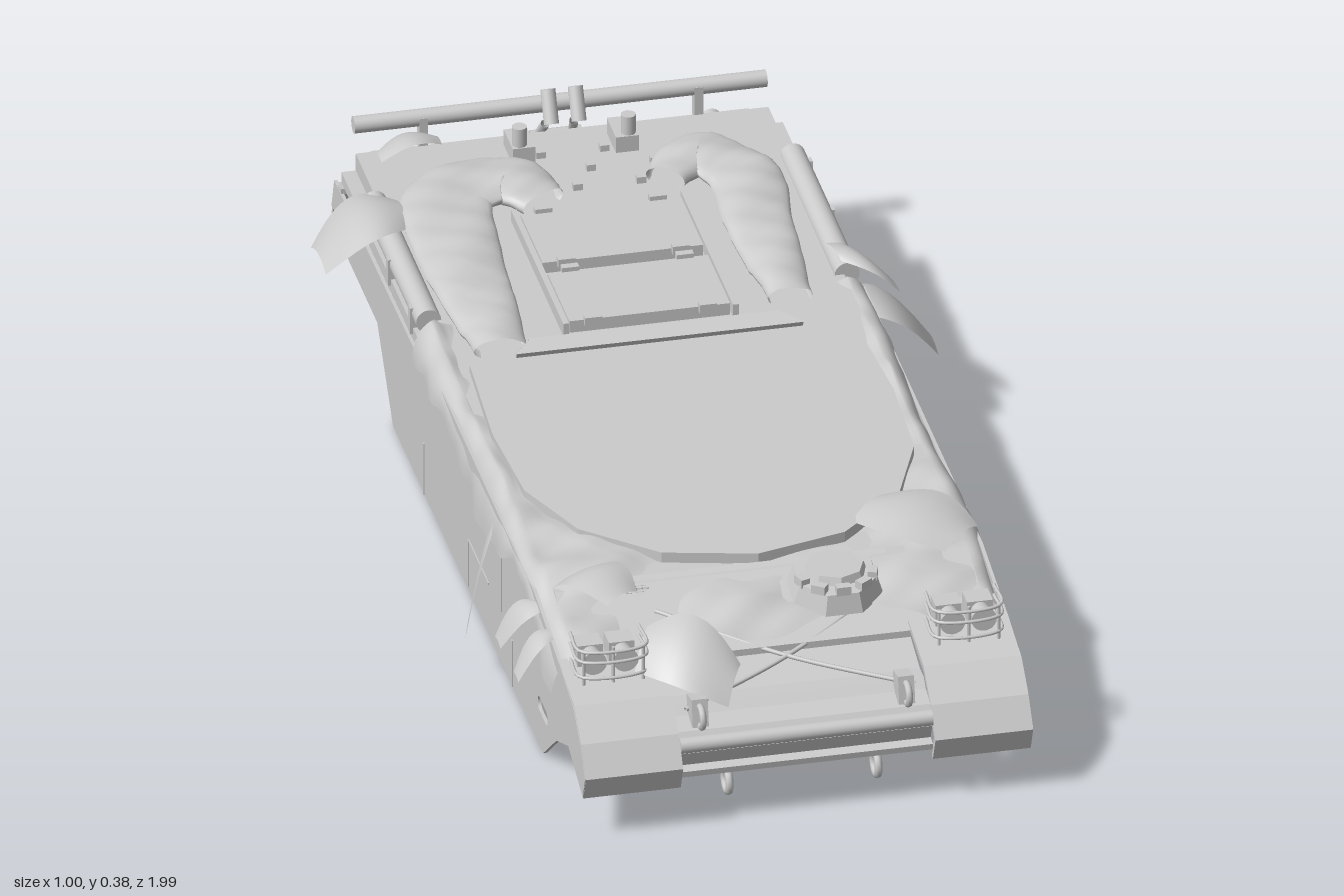
import * as THREE from 'three';

const mat = new THREE.MeshStandardMaterial({ color: 0xcccccc, side: THREE.DoubleSide });
const flat = new THREE.MeshStandardMaterial({ color: 0xcccccc, side: THREE.DoubleSide, flatShading: true });
const V = (x, y, z) => new THREE.Vector3(x, y, z);

export function createModel() {
  const root = new THREE.Group();
  const hull = new THREE.Group();
  hull.name = 'vehicleHull';
  hull.position.x = -0.013;
  root.add(hull);

  const add = (name, geo, x = 0, y = 0, z = 0, m = mat) => {
    const o = new THREE.Mesh(geo, m);
    o.name = name;
    o.position.set(x, y, z);
    hull.add(o);
    return o;
  };
  const box = (name, w, h, d, x, y, z, rx = 0) => {
    const o = add(name, new THREE.BoxGeometry(w, h, d), x, y, z);
    o.rotation.x = rx;
    return o;
  };
  // cylinder along an axis
  const cyl = (name, r1, r2, len, axis, x, y, z, n = 20) => {
    const g = new THREE.CylinderGeometry(r1, r2, len, n);
    if (axis === 'x') g.rotateZ(-Math.PI / 2);
    if (axis === 'z') g.rotateX(Math.PI / 2);
    return add(name, g, x, y, z);
  };
  // side profile of [z, y] points extruded across x
  const profile = (name, pts, width, x, hole) => {
    const s = new THREE.Shape(pts.map(p => new THREE.Vector2(p[0], p[1])));
    if (hole) s.holes.push(hole);
    const g = new THREE.ExtrudeGeometry(s, { depth: width, bevelEnabled: false });
    g.rotateY(-Math.PI / 2).translate(width / 2, 0, 0);
    return add(name, g, x);
  };
  const tube = (name, pts, r, n = 24) =>
    add(name, new THREE.TubeGeometry(new THREE.CatmullRomCurve3(pts), n, r, 8));
  // grid surface from a rule f(u, v) -> point
  const surface = (name, f, nu, nv) => {
    const g = new THREE.PlaneGeometry(1, 1, nu, nv), p = g.attributes.position;
    for (let i = 0; i < p.count; i++) {
      const q = f(p.getX(i) + 0.5, p.getY(i) + 0.5);
      p.setXYZ(i, q.x, q.y, q.z);
    }
    g.computeVertexNormals();
    return add(name, g);
  };
  const bumps = (x, z) =>
    0.5 * Math.sin(x * 21 + z * 13) + 0.3 * Math.sin(z * 37 - x * 17) + 0.2 * Math.sin(x * 53 + z * 59);

  // main body: tub with sloping sides
  const tub = profile('lowerHull', [[0.74, 0.028], [0.94, 0.08], [0.965, 0.14], [0.9, 0.2], [-0.89, 0.21],
    [-0.89, 0.11], [-0.84, 0.028]], 0.44, 0);
  const tp = tub.geometry.attributes.position;
  for (let i = 0; i < tp.count; i++) tp.setX(i, tp.getX(i) * (tp.getY(i) < 0.06 ? 0.8 : 1));
  tub.geometry.computeVertexNormals();
  profile('upperHull', [[0.8, 0.19], [0.8, 0.235], [0.62, 0.282], [-0.28, 0.29], [-0.9, 0.295], [-0.91, 0.2],
    [-0.86, 0.17]], 0.72, 0);
  profile('glacis', [[0.97, 0.15], [0.95, 0.175], [0.6, 0.286], [0.6, 0.19], [0.9, 0.14]], 0.44, 0);
  cyl('noseBar', 0.014, 0.014, 0.44, 'x', 0, 0.155, 0.962);
  box('noseStrip', 0.44, 0.012, 0.03, 0, 0.105, 0.955, 0.2);
  box('rearPlate', 0.66, 0.1, 0.02, 0, 0.235, -0.91);

  for (const s of [-1, 1]) {
    // skirt with an oval slot
    const slot = new THREE.Path();
    slot.absarc(0.69, 0.08, 0.013, Math.PI / 2, -Math.PI / 2, true);
    slot.absarc(0.64, 0.08, 0.013, -Math.PI / 2, -Math.PI * 1.5, true);
    profile('sideSkirt', [[0.67, 0], [0.77, 0.08], [0.86, 0.12], [0.97, 0.08], [0.988, 0.125], [0.95, 0.175],
      [0.9, 0.215], [0.8, 0.24], [0.6, 0.275], [-0.3, 0.275], [-0.32, 0.24], [-0.93, 0.23], [-0.95, 0.17], [-0.87, 0.17],
      [-0.82, 0.135], [-0.6, 0.135], [-0.48, 0]], 0.006, s * 0.388, slot);
    for (const [z, y, h] of [[0.435, 0.045, 0.09], [0.35, 0.16, 0.12], [0.1, 0.055, 0.09], [-0.24, 0.05, 0.1]])
      box('skirtSeam', 0.004, h, 0.006, s * 0.391, y, z);
    box('skirtSeam', 0.004, 0.004, 0.15, s * 0.391, 0.1, 0.18);
    // curved front mudguard and rear flap
    profile('frontMudguard', [[0.97, 0.078], [0.99, 0.125], [0.955, 0.175], [0.9, 0.22], [0.78, 0.245],
      [0.78, 0.235], [0.9, 0.208], [0.945, 0.17], [0.978, 0.125], [0.962, 0.08]], 0.17, s * 0.305);
    profile('rearFlap', [[-0.88, 0.24], [-0.93, 0.225], [-0.955, 0.15], [-0.948, 0.15], [-0.925, 0.215],
      [-0.88, 0.23]], 0.16, s * 0.31);
    // suspension mounts along the tub
    for (let i = 0; i < 6; i++) {
      const z = 0.53 - i * 0.19;
      cyl('axleMount', s > 0 ? 0.026 : 0.045, s > 0 ? 0.045 : 0.026, 0.06, 'x', s * 0.205, 0.07, z, 14);
      cyl('axleHub', 0.018, 0.018, 0.03, 'x', s * 0.235, 0.07, z, 12);
      box('axleBracket', 0.03, 0.07, 0.09, s * 0.185, 0.08, z);
    }
    cyl('idlerMount', 0.028, 0.028, 0.07, 'x', s * 0.2, 0.05, 0.74);
    // final drive
    cyl('finalDrive', 0.08, 0.08, 0.1, 'x', s * 0.25, 0.11, -0.77, 28);
    cyl('finalDriveCap', 0.045, 0.045, 0.012, 'x', s * 0.305, 0.11, -0.77, 24);
    add('finalDriveRim', new THREE.TorusGeometry(0.062, 0.008, 8, 28).rotateY(Math.PI / 2), s * 0.3, 0.11, -0.77);
    // stowed pipes beside the engine deck
    cyl('sidePipe', 0.022, 0.022, 0.42, 'z', s * 0.365, 0.29, -0.53);
    box('sideShelf', 0.05, 0.02, 0.6, s * 0.36, 0.252, -0.6);
    for (const z of [-0.36, -0.53, -0.7]) box('pipeStrap', 0.012, 0.05, 0.015, s * 0.384, 0.275, z);
    // lamp guards
    for (const dx of [0, 0.055]) {
      cyl('headlamp', 0.022, 0.016, 0.035, 'z', s * (0.285 + dx), 0.262, 0.82);
      box('lampCase', 0.045, 0.04, 0.04, s * (0.285 + dx), 0.26, 0.785);
    }
    for (const y of [0.245, 0.275, 0.295])
      tube('lampGuard', [V(s * 0.25, y, 0.78), V(s * 0.255, y, 0.85), V(s * 0.365, y, 0.85), V(s * 0.37, y, 0.78)], 0.003);
    for (const x of [0.258, 0.31, 0.362]) cyl('guardPost', 0.003, 0.003, 0.07, 'y', s * x, 0.263, 0.85, 6);
    // tow hooks and cables
    box('towBracket', 0.028, 0.05, 0.04, s * 0.18, 0.2, 0.925, -0.2);
    add('towEye', new THREE.TorusGeometry(0.018, 0.006, 8, 16).rotateY(Math.PI / 2), s * 0.18, 0.2, 0.95);
    add('lowerHook', new THREE.TorusGeometry(0.02, 0.007, 8, 16).rotateY(Math.PI / 2), s * 0.13, 0.06, 0.93);
    tube('glacisCable', [V(s * 0.2, 0.2, 0.92), V(0, 0.225, 0.82), V(-s * 0.2, 0.265, 0.69)], 0.004);
    // rear fittings
    box('rearBox', 0.1, 0.05, 0.04, s * 0.15, 0.22, -0.93);
    cyl('rearLamp', 0.02, 0.02, 0.04, 'z', s * 0.27, 0.255, -0.93);
    add('rearShackle', new THREE.TorusGeometry(0.024, 0.007, 8, 16).rotateY(Math.PI / 2), s * 0.16, 0.08, -0.9);
    box('logBracket', 0.015, 0.06, 0.02, s * 0.24, 0.315, -0.915);
    cyl('deckBollard', 0.013, 0.013, 0.06, 'y', s * 0.024, 0.35, -0.89).rotation.x = -0.5;
    box('deckLatch', 0.04, 0.03, 0.07, s * 0.09, 0.315, -0.83);
    cyl('deckCap', 0.013, 0.013, 0.06, 'y', s * 0.095, 0.335, -0.81, 12);
  }

  // rear log and tow coupling
  cyl('rearLog', 0.015, 0.015, 0.72, 'x', 0, 0.34, -0.92);
  box('couplingPlate', 0.1, 0.14, 0.03, 0, 0.16, -0.905);
  cyl('couplingBar', 0.014, 0.014, 0.08, 'z', 0, 0.12, -0.94);
  add('couplingRing', new THREE.TorusGeometry(0.018, 0.008, 10, 20).rotateY(Math.PI / 2), 0, 0.12, -0.974);
  for (const x of [-0.025, 0.025])
    tube('couplingArm', [V(x, 0.3, -0.92), V(x * 1.2, 0.25, -0.955), V(x, 0.18, -0.945), V(x, 0.11, -0.94)], 0.008);
  for (const y of [0.2, 0.26]) cyl('couplingPin', 0.011, 0.011, 0.09, 'x', 0, y, -0.95, 12);

  // engine deck panels and cooling grille
  for (const z of [-0.52, -0.315]) {
    box('enginePanel', 0.28, 0.024, 0.17, 0, 0.3, z);
    for (const x of [-0.1, 0.1]) for (const e of [-0.088, 0.088]) box('panelHinge', 0.03, 0.016, 0.014, x, 0.312, z + e);
  }
  for (const x of [-0.148, 0.148]) box('panelRail', 0.01, 0.028, 0.4, x, 0.3, -0.42);
  for (let i = 0; i < 6; i++) box('grilleSlat', 0.5 - i * 0.012, 0.012, 0.005, 0, 0.302, -0.155 - i * 0.008, 0.5);
  for (let i = 0; i < 8; i++) box('deckBolt', 0.016, 0.012, 0.012, -0.13 + i * 0.037, 0.3, -0.7 - (i % 3) * 0.06);

  // flat cover over the turret opening
  const cover = new THREE.Shape([[-0.335, 0.14], [0.335, 0.14], [0.35, -0.1], [0.34, -0.3], [0.28, -0.45], [0.16, -0.56],
    [0, -0.6], [-0.16, -0.56], [-0.28, -0.45], [-0.34, -0.3], [-0.35, -0.1]].map(p => new THREE.Vector2(...p)));
  add('turretCover', new THREE.ExtrudeGeometry(cover, { depth: 0.02, bevelEnabled: false }).rotateX(-Math.PI / 2), 0, 0.282, 0);

  // draped net over the front deck and sides
  surface('drapedNet', (u, v) => {
    const z = -0.3 + v * 1.06 + 0.03 * Math.sin(u * 17) * (v > 0.9 ? 1 : 0);
    const a = u * 2 - 1, m = Math.abs(a), sg = Math.sign(a);
    const top = z > 0.55 ? 0.294 - (z - 0.55) * 0.2 : 0.294;
    const x = m < 0.8 ? a / 0.8 * 0.36 : sg * (0.36 + 0.037 * Math.sin((m - 0.8) / 0.2 * Math.PI / 2));
    const r = Math.hypot(x / 0.35, (Math.max(z, 0.1) - 0.1) / 0.5);
    const k = THREE.MathUtils.clamp((r - 0.85) * 4, 0, 1);
    const n = bumps(x, z);
    if (m < 0.8) return V(x, top - 0.012 * (1 - k) + 0.013 * k * n, z);
    const t = (m - 0.8) / 0.2;
    return V(x + sg * 0.006 * t * n, top + 0.012 * n * (1 - t) - t * t * (0.07 + 0.025 * Math.sin(z * 9) + 0.015 * n), z);
  }, 90, 90);

  // folded cloth lying on the engine deck
  const cloth = (pts, w) => {
    const c = new THREE.CatmullRomCurve3(pts);
    surface('foldedCloth', (u, v) => {
      const p = c.getPoint(v), d = c.getTangent(v), a = u * Math.PI * 2;
      const r = w * (0.35 + 0.65 * Math.pow(Math.sin(Math.PI * Math.min(Math.max(v, 0.03), 0.97)), 0.4));
      const x = p.x - d.z * Math.cos(a) * r, z = p.z + d.x * Math.cos(a) * r;
      return V(x, p.y + Math.sin(a) * 0.02 + bumps(x * 2, z * 2) * 0.005, z);
    }, 28, 50);
  };
  cloth([V(-0.09, 0.305, -0.65), V(-0.14, 0.308, -0.73), V(-0.24, 0.308, -0.7), V(-0.27, 0.308, -0.5), V(-0.27, 0.3, -0.18)], 0.08);
  cloth([V(0.13, 0.305, -0.68), V(0.2, 0.308, -0.75), V(0.26, 0.308, -0.66), V(0.25, 0.308, -0.5), V(0.25, 0.3, -0.25)], 0.065);

  // driver hatch
  add('driverHatch', new THREE.CylinderGeometry(0.072, 0.085, 0.035, 8), 0.115, 0.283, 0.68, flat).rotation.set(0.15, 0.39, 0);
  add('hatchLid', new THREE.CylinderGeometry(0.05, 0.055, 0.015, 8), 0.115, 0.305, 0.68, flat);
  for (let i = 0; i < 5; i++) {
    const a = Math.PI * (0.1 + i * 0.2);
    box('periscope', 0.025, 0.016, 0.016, 0.115 + 0.065 * Math.cos(a), 0.298, 0.68 + 0.065 * Math.sin(a)).rotation.y = -a + Math.PI / 2;
  }

  // loose curled leaves: base, tip, width direction and arch height
  const leaf = (b, t, w, arch) => surface('leaf', (u, v) => {
    const p = b.clone().lerp(t, v), s = (u - 0.5) * 2;
    const taper = 0.35 + 0.65 * Math.sin(Math.PI * (0.15 + 0.72 * v));
    p.addScaledVector(w, s * taper);
    p.y += arch * Math.sin(Math.PI * v) - 0.15 * w.length() * s * s;
    return p;
  }, 8, 10);
  leaf(V(0.37, 0.26, -0.3), V(0.51, 0.155, -0.31), V(0, 0.01, 0.085), 0.03);
  leaf(V(0.35, 0.32, -0.36), V(0.44, 0.28, -0.3), V(0.01, 0, 0.05), 0.015);
  leaf(V(-0.33, 0.315, -0.67), V(-0.487, 0.265, -0.63), V(0, 0.01, 0.095), 0.035);
  leaf(V(-0.395, 0.26, 0.31), V(-0.45, 0.085, 0.35), V(-0.02, 0, 0.06), 0.02);
  leaf(V(-0.39, 0.265, 0.62), V(-0.455, 0.19, 0.6), V(0, 0, 0.035), 0.02);
  leaf(V(-0.39, 0.265, 0.72), V(-0.455, 0.2, 0.74), V(0, 0, 0.03), 0.02);
  leaf(V(-0.25, 0.27, 0.8), V(-0.11, 0.235, 0.9), V(-0.03, -0.035, 0.055), 0.03);
  leaf(V(0.22, 0.31, 0.48), V(0.35, 0.31, 0.62), V(0.06, 0, -0.06), 0.02);
  leaf(V(-0.33, 0.3, 0.6), V(-0.27, 0.335, 0.74), V(0.05, 0, -0.03), 0.03);
  leaf(V(-0.33, 0.31, -0.86), V(-0.22, 0.32, -0.88), V(0, 0.01, 0.04), 0.02);
  return root;
}
